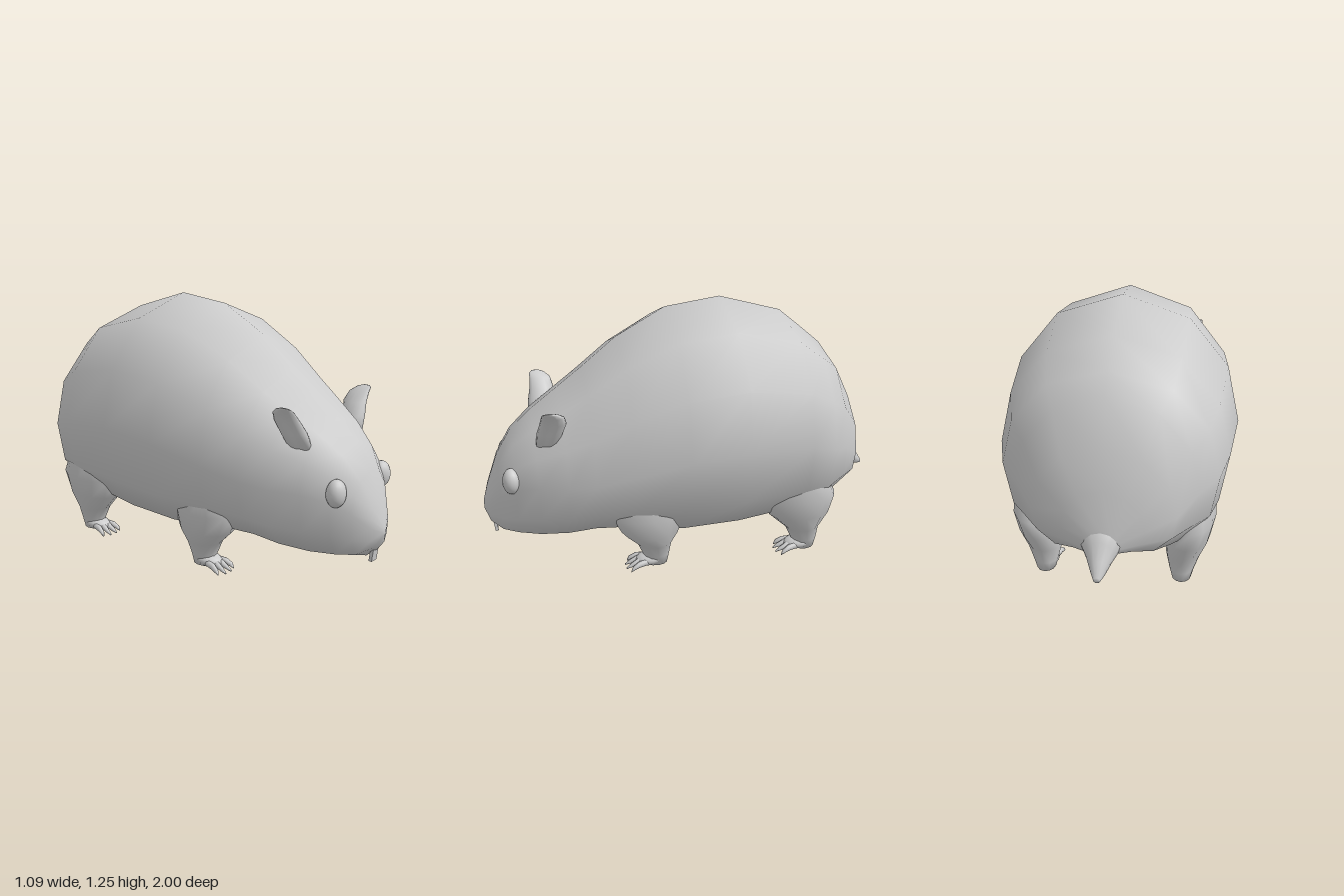
import * as THREE from 'three';

const material = new THREE.MeshStandardMaterial({ color: 0xcccccc });

function named(geometry, name) {
  const mesh = new THREE.Mesh(geometry, material);
  mesh.name = name;
  return mesh;
}

// Skins closed rings of points, caps both ends and faces the result outwards
function loft(rings, name) {
  const n = rings[0].length;
  const points = rings.flat();
  const middle = (ring) => ring.reduce((sum, p) => sum.add(p), new THREE.Vector3()).divideScalar(n);
  const first = points.push(middle(rings[0])) - 1;
  const last = points.push(middle(rings[rings.length - 1])) - 1;
  const index = [];
  for (let j = 0; j < n; j++) {
    const k = (j + 1) % n;
    for (let i = 0; i < rings.length - 1; i++) {
      const a = i * n + j, b = i * n + k;
      index.push(a, b, a + n, b, b + n, a + n);
    }
    const end = (rings.length - 1) * n;
    index.push(first, k, j, last, end + j, end + k);
  }
  let volume = 0;
  for (let i = 0; i < index.length; i += 3) {
    const [a, b, c] = [0, 1, 2].map((o) => points[index[i + o]]);
    volume += a.dot(b.clone().cross(c));
  }
  if (volume < 0) index.reverse();
  const geometry = new THREE.BufferGeometry().setFromPoints(points);
  geometry.setIndex(index);
  geometry.computeVertexNormals();
  return named(geometry, name);
}

// Horizontal oval ring; dent hollows the side that points outwards and forwards
function oval([x, y, z, rx, rz], side, dent = 0, n = 12) {
  return Array.from({ length: n }, (_, j) => {
    const a = (j / n) * Math.PI * 2;
    const r = 1 - dent * Math.max(0, Math.cos(a - 0.5)) ** 2;
    return new THREE.Vector3(side * (x + rx * r * Math.cos(a)), y, z + rz * r * Math.sin(a));
  });
}

// Upright oval ring
function hoop(x, y, z, rx, ry, n = 12) {
  return Array.from({ length: n }, (_, j) => {
    const a = (j / n) * Math.PI * 2;
    return new THREE.Vector3(x + rx * Math.cos(a), y + ry * Math.sin(a), z);
  });
}

// Body and head: z, top, bottom, half width, height of the widest point
const bodySections = [
  [1.0, 0.32, 0.28, 0.015, 0.30],
  [0.975, 0.41, 0.215, 0.075, 0.33],
  [0.92, 0.56, 0.168, 0.145, 0.4],
  [0.85, 0.675, 0.156, 0.212, 0.45],
  [0.75, 0.768, 0.153, 0.283, 0.48],
  [0.62, 0.865, 0.165, 0.347, 0.49],
  [0.5, 0.955, 0.19, 0.395, 0.51],
  [0.33, 1.09, 0.19, 0.455, 0.56],
  [0.09, 1.22, 0.155, 0.52, 0.63],
  [-0.18, 1.255, 0.165, 0.546, 0.66],
  [-0.49, 1.17, 0.195, 0.515, 0.64],
  [-0.62, 1.065, 0.22, 0.477, 0.6],
  [-0.71, 0.99, 0.25, 0.4, 0.57],
  [-0.81, 0.8, 0.3, 0.31, 0.5],
  [-0.86, 0.63, 0.335, 0.18, 0.45],
  [-0.9, 0.47, 0.35, 0.07, 0.41],
];

// Half of a cross-section, in degrees from the top
const bodyAngles = [0, 34, 63, 90, 118, 146, 180];

function bodyRing([z, top, bottom, width, mid]) {
  const half = bodyAngles.map((degrees) => {
    const a = THREE.MathUtils.degToRad(degrees);
    const s = Math.abs(Math.sin(a)), c = Math.cos(a);
    if (degrees <= 90) return new THREE.Vector3(width * s, mid + (top - mid) * c, z);
    // the underside is fuller than an ellipse
    return new THREE.Vector3(width * s ** 0.65, mid - (mid - bottom) * Math.abs(c) ** 0.85, z);
  });
  const mirrored = half.slice(1, -1).reverse().map((p) => new THREE.Vector3(-p.x, p.y, p.z));
  return [...half, ...mirrored];
}

// Leg rings: x, y, z, x radius, z radius
const frontLeg = [
  [0.3, 0.5, 0.25, 0.1, 0.08],
  [0.31, 0.41, 0.25, 0.11, 0.15],
  [0.315, 0.31, 0.25, 0.11, 0.18],
  [0.295, 0.21, 0.24, 0.115, 0.14],
  [0.285, 0.14, 0.22, 0.085, 0.085],
  [0.28, 0.07, 0.21, 0.058, 0.065],
  [0.28, 0.02, 0.21, 0.045, 0.055],
];
const hindLeg = [
  [0.34, 0.52, -0.48, 0.11, 0.08],
  [0.355, 0.43, -0.48, 0.11, 0.15],
  [0.36, 0.33, -0.49, 0.108, 0.19],
  [0.34, 0.23, -0.505, 0.105, 0.155],
  [0.325, 0.14, -0.53, 0.08, 0.085],
  [0.32, 0.07, -0.545, 0.058, 0.065],
  [0.32, 0.02, -0.545, 0.045, 0.055],
];

function leg(rings, side, name) {
  const group = new THREE.Group();
  group.name = name;
  group.add(loft(rings.map((r) => oval(r, side)), 'legShaft'));
  const [x, , z] = rings[rings.length - 1];
  const paw = named(new THREE.SphereGeometry(1, 14, 10), 'paw');
  paw.scale.set(0.056, 0.032, 0.08);
  paw.position.set(side * x, 0.047, z + 0.025);
  paw.rotation.x = 0.15;
  group.add(paw);
  // Four fanned toes tapering to claws
  for (let i = 0; i < 4; i++) {
    const f = (i - 1.5) / 1.5;
    const reach = 0.16 - 0.025 * Math.abs(f);
    const steps = [[0.05, 0.042, 0.016], [0.095, 0.038, 0.015], [0.125, 0.025, 0.011], [reach, 0.012, 0.004]];
    group.add(loft(steps.map(([dz, y, r]) => hoop(side * x + f * (0.025 + 0.22 * dz), y, z + dz, r, r, 8)), 'toe'));
  }
  return group;
}

// Ear rings: x, y, z, x radius, z radius
const ear = [
  [0.21, 0.66, 0.7, 0.05, 0.05],
  [0.24, 0.73, 0.685, 0.055, 0.06],
  [0.27, 0.785, 0.67, 0.045, 0.062],
  [0.298, 0.825, 0.672, 0.034, 0.054],
  [0.317, 0.846, 0.684, 0.02, 0.038],
  [0.326, 0.854, 0.69, 0.009, 0.018],
];

// Tail rings: y, z, x radius, y radius
const tail = [
  [0.43, -0.83, 0.1, 0.08],
  [0.405, -0.885, 0.09, 0.078],
  [0.365, -0.92, 0.06, 0.062],
  [0.325, -0.965, 0.035, 0.04],
  [0.297, -1.0, 0.015, 0.012],
];

export function createModel() {
  const model = new THREE.Group();
  model.name = 'rodent';
  model.add(loft(bodySections.map(bodyRing), 'body'));

  for (const side of [1, -1]) {
    const label = side > 0 ? 'left' : 'right';
    model.add(leg(frontLeg, side, label + 'FrontLeg'));
    model.add(leg(hindLeg, side, label + 'HindLeg'));
    model.add(loft(ear.map((r) => oval(r, side, 0.5, 16)), label + 'Ear'));
    const eye = named(new THREE.SphereGeometry(1, 16, 12), label + 'Eye');
    eye.scale.set(0.05, 0.062, 0.042);
    eye.position.set(side * 0.183, 0.49, 0.867);
    model.add(eye);
  }

  model.add(loft(tail.map(([y, z, rx, ry]) => hoop(0, y, z, rx, ry)), 'tail'));

  // Front teeth
  const teeth = named(new THREE.BoxGeometry(0.042, 0.07, 0.015), 'teeth');
  teeth.position.set(0, 0.19, 0.955);
  teeth.rotation.x = 0.12;
  model.add(teeth);
  return model;
}
